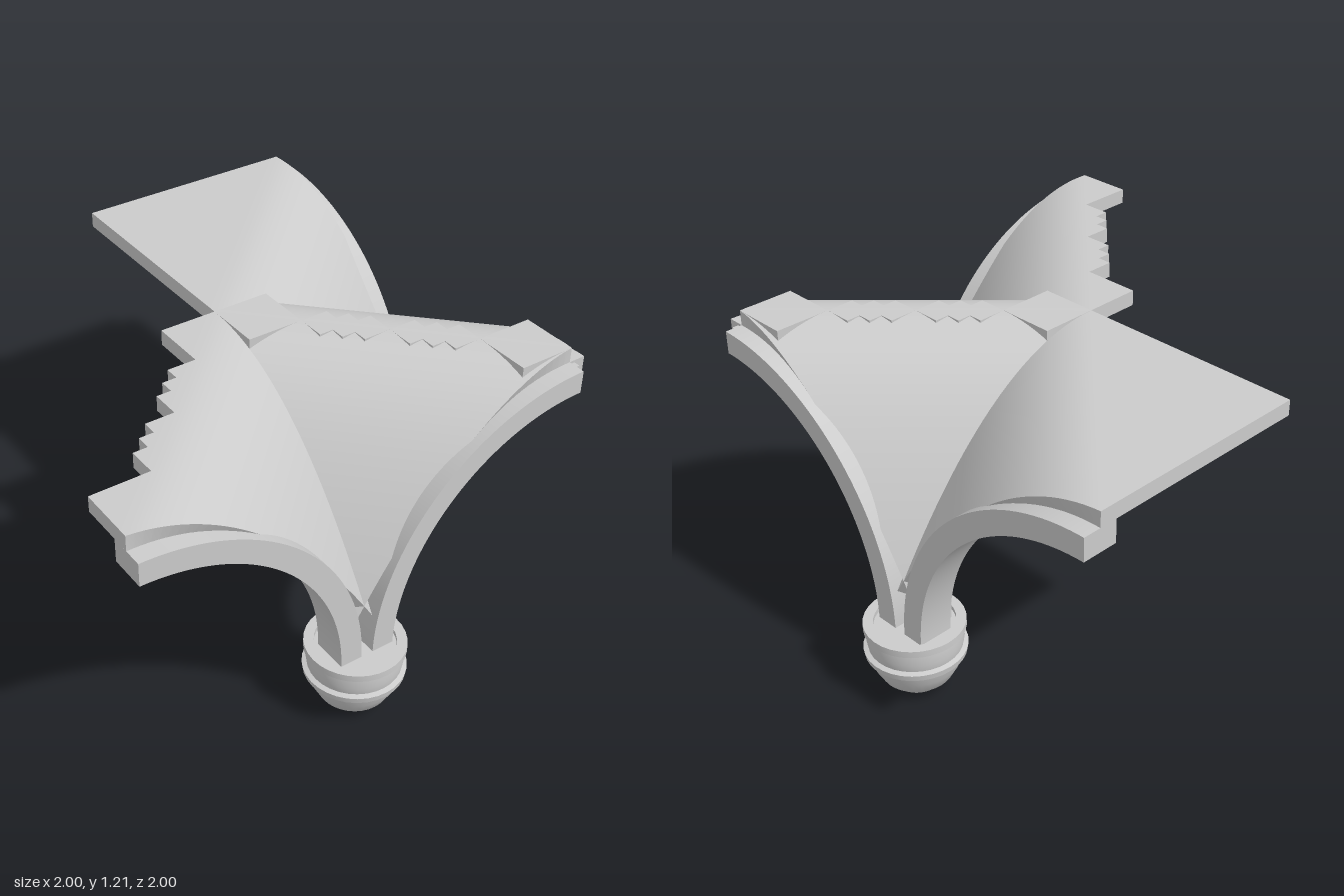
import * as THREE from 'three';
import { toCreasedNormals } from 'three/addons/utils/BufferGeometryUtils.js';

const SPAN = 0.905;              // column axis to crown
const SPRING = 0.27;             // height of the rib arc centres
const RIB_IN = 0.79, RIB_OUT = 0.88;
const WEB_FOOT = 0.395, WEB_CROWN = 1.15, WEB_THICK = 0.06;
const CELLS = 16, SUB = 2, N = CELLS * SUB;
// cells kept in each row of a web with a stepped edge
const STEPS = [16, 16, 16, 16, 12, 12, 11, 10, 8, 8, 7, 6, 4, 4, 4, 4];

const material = new THREE.MeshStandardMaterial({ color: 0xcccccc });

function addMesh(parent, geometry, name) {
  const mesh = new THREE.Mesh(geometry, material);
  mesh.name = name;
  parent.add(mesh);
  return mesh;
}

// web point: the underside rises along the bay diagonal and is level beyond
// the ridge; the upper side is offset from it along the surface normal
function webPoint(u, v, offset) {
  const rest = Math.max(0, 1 - (u + v) / SPAN);
  const rise = WEB_CROWN - WEB_FOOT;
  const slope = (2 * rise * rest) / SPAN;
  const step = offset / Math.sqrt(1 + 2 * slope * slope);
  return [u - slope * step, WEB_CROWN - rise * rest * rest + step, v - slope * step];
}

// web of one bay quarter, spreading from the column axis towards (sx, sz)
function webGeometry(sx, sz, stepped) {
  const positions = [], index = [];
  const flip = sx * sz < 0;
  const point = (i, j, offset) => {
    const [u, y, v] = webPoint((i / N) * SPAN, (j / N) * SPAN, offset);
    return [sx * u, y, sz * v];
  };
  const quad = (a, b, c, d) => (flip ? index.push(a, c, b, a, d, c) : index.push(a, b, c, a, c, d));
  const kept = (i, j) => {
    if (i < 0 || j < 0 || i >= N || j >= N) return false;
    return !stepped || Math.floor(j / SUB) < STEPS[Math.floor(i / SUB)];
  };
  // upper and lower vertex grids
  for (const offset of [WEB_THICK, 0])
    for (let i = 0; i <= N; i++)
      for (let j = 0; j <= N; j++) positions.push(...point(i, j, offset));
  const id = (i, j) => i * (N + 1) + j;
  const low = (N + 1) * (N + 1);
  // edge faces
  const wall = (p, q) => {
    const k = positions.length / 3;
    positions.push(...point(...p, WEB_THICK), ...point(...p, 0),
      ...point(...q, 0), ...point(...q, WEB_THICK));
    quad(k, k + 1, k + 2, k + 3);
  };
  for (let i = 0; i < N; i++) {
    for (let j = 0; j < N; j++) {
      if (!kept(i, j)) continue;
      const a = id(i, j), b = id(i + 1, j), c = id(i + 1, j + 1), d = id(i, j + 1);
      quad(d, c, b, a);
      quad(low + b, low + c, low + d, low + a);
      if (!kept(i - 1, j)) wall([i, j], [i, j + 1]);
      if (!kept(i, j + 1)) wall([i, j + 1], [i + 1, j + 1]);
      if (!kept(i + 1, j)) wall([i + 1, j + 1], [i + 1, j]);
      if (!kept(i, j - 1)) wall([i + 1, j], [i, j]);
    }
  }
  const geometry = new THREE.BufferGeometry();
  geometry.setAttribute('position', new THREE.Float32BufferAttribute(positions, 3));
  geometry.setIndex(index);
  geometry.computeVertexNormals();
  return geometry;
}

// quarter-circle rib rising from the axis along +x
function ribGeometry() {
  const shape = new THREE.Shape();
  shape.absarc(SPAN, SPRING, RIB_OUT, Math.PI, Math.PI / 2, true);
  shape.absarc(SPAN, SPRING, RIB_IN, Math.PI / 2, Math.PI, false);
  shape.closePath();
  const geometry = new THREE.ExtrudeGeometry(shape, { depth: 0.14, bevelEnabled: false, curveSegments: 28 });
  geometry.translate(0, 0, -0.07);
  return toCreasedNormals(geometry, 0.4);
}

// turned corbel with a recessed top
function corbelGeometry() {
  const profile = [
    [0, 0.005], [0.05, 0.007], [0.09, 0.018], [0.134, 0.06], [0.163, 0.115], [0.176, 0.157],
    [0.188, 0.16], [0.192, 0.184], [0.174, 0.19], [0.179, 0.22], [0.176, 0.262],
    [0.188, 0.266], [0.188, 0.293], [0.15, 0.293], [0.15, 0.275], [0, 0.275],
  ].map(([r, y]) => new THREE.Vector2(r, y));
  return toCreasedNormals(new THREE.LatheGeometry(profile, 32), 0.5);
}

export function createModel() {
  const model = new THREE.Group();
  model.name = 'vaultCorner';
  const rib = ribGeometry();
  const corbel = corbelGeometry();

  // each column: position, rib directions, webs as [sx, sz, stepped]
  const columns = [
    { name: 'frontColumn', x: -0.095, z: 0.81, ribs: [0, Math.PI, Math.PI / 2],
      webs: [[-1, -1, true], [1, -1, true]] },
    { name: 'rightColumn', x: 0.81, z: -0.095, ribs: [Math.PI / 2, -Math.PI / 2, Math.PI],
      webs: [[-1, 1, true], [-1, -1, false]] },
  ];
  for (const { name, x, z, ribs, webs } of columns) {
    const group = new THREE.Group();
    group.name = name;
    group.position.set(x, 0, z);
    addMesh(group, corbel, 'corbel');
    for (const turn of ribs) addMesh(group, rib, 'archRib').rotation.y = turn;
    for (const web of webs) addMesh(group, webGeometry(...web), 'vaultWeb');
    model.add(group);
  }

  // quarter boss where the outer ribs meet
  const boss = new THREE.Shape();
  boss.moveTo(0.02, -0.02);
  boss.lineTo(0.02, 0.08);
  boss.absarc(0, 0, 0.15, Math.PI / 2, Math.PI, false);
  boss.lineTo(-0.08, -0.02);
  boss.closePath();
  const plate = new THREE.ExtrudeGeometry(boss, { depth: 0.05, bevelEnabled: false, curveSegments: 6 });
  plate.rotateX(-Math.PI / 2);
  addMesh(model, plate, 'bossPlate').position.set(0.81, 1.015, 0.81);
  addMesh(model, new THREE.BoxGeometry(0.06, 0.12, 0.06), 'bossCore').position.set(0.805, 1.08, 0.805);
  return model;
}
